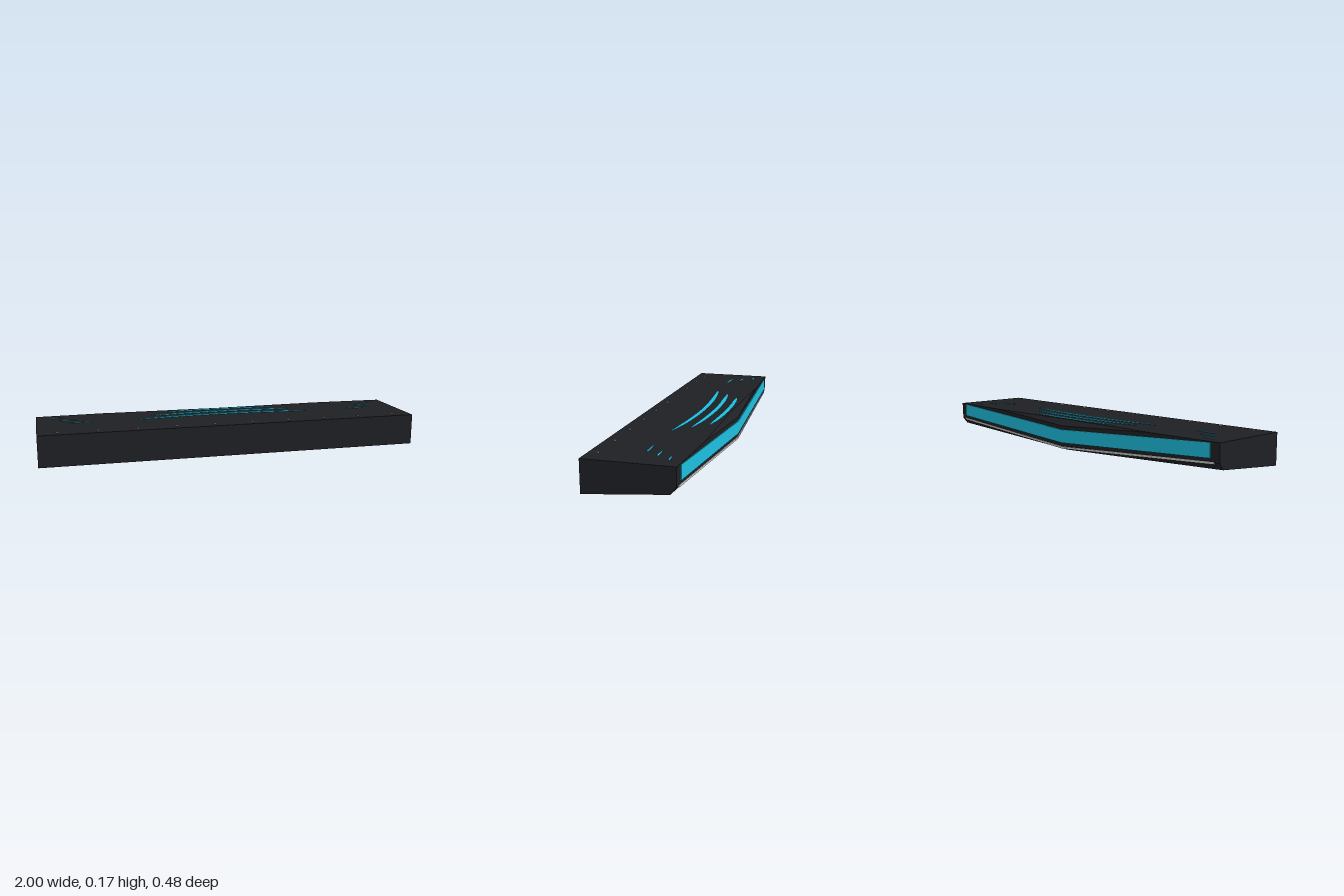
import * as THREE from 'three';

const TOP = 0.162;
const mat = (color) => new THREE.MeshStandardMaterial({ color, flatShading: true, side: THREE.DoubleSide });
const lerp = THREE.MathUtils.lerp;

// Joins equal-length [z, y] sections at the given x stations and closes both ends
function loft(xs, sectionAt) {
  const rings = xs.map((x) => sectionAt(Math.abs(x)).map(([z, y]) => [x, y, z]));
  const n = rings[0].length;
  const out = [];
  for (let i = 0; i < xs.length - 1; i++) {
    for (let j = 0; j < n; j++) {
      const k = (j + 1) % n;
      const [a, b, c, d] = [rings[i][j], rings[i][k], rings[i + 1][k], rings[i + 1][j]];
      out.push(...a, ...d, ...c, ...a, ...c, ...b);
    }
  }
  const first = rings[0], last = rings[rings.length - 1];
  for (let j = 1; j < n - 1; j++) {
    out.push(...first[0], ...first[j], ...first[j + 1]);
    out.push(...last[0], ...last[j + 1], ...last[j]);
  }
  const geo = new THREE.BufferGeometry();
  geo.setAttribute('position', new THREE.Float32BufferAttribute(out, 3));
  geo.computeVertexNormals();
  return geo;
}

// Thin inlay lying on the top face, outlined by [x, z] points
function inlay(points) {
  const shape = new THREE.Shape(points.map(([x, z]) => new THREE.Vector2(x, -z)));
  const geo = new THREE.ExtrudeGeometry(shape, { depth: 0.003, bevelEnabled: false });
  return geo.rotateX(-Math.PI / 2).translate(0, TOP - 0.001, 0);
}

export function createModel() {
  const model = new THREE.Group();
  const dark = mat(0x1f2024), teal = mat(0x1fc0e0), grey = mat(0xcccccc);
  const add = (name, geo, material, parent = model) => {
    const mesh = new THREE.Mesh(geo, material);
    mesh.name = name;
    parent.add(mesh);
    return mesh;
  };

  // Slab with a pointed, drooping rear edge and an undercut chin
  add('body', loft([-1, -0.6, 0, 0.6, 1], (x) => [
    [0.24, 0],
    [0.24, TOP],
    [x > 0.5 ? lerp(-0.21, -0.198, (x - 0.6) / 0.4) : -0.2, TOP],
    [lerp(-0.235, -0.2, x), x > 0.5 ? TOP : 0.13],
    [lerp(-0.234, -0.197, x), lerp(0.022, 0.07, x)],
    [lerp(-0.205, -0.17, x), lerp(0, 0.037, x)],
  ]), dark);

  // Coloured band across the rear face
  add('rearBand', loft([-0.95, 0, 0.95], (x) => {
    const z = lerp(-0.24, -0.203, x), low = lerp(0.04, 0.09, x), high = lerp(0.11, 0.16, x);
    return [[z + 0.015, low], [z + 0.015, high], [z, high], [z, low]];
  }), teal);

  // Slim rail below the band
  add('rearRail', loft([-0.97, 0, 0.97], (x) => {
    const z = lerp(-0.238, -0.199, x), y = lerp(0.014, 0.068, x);
    return [[z + 0.012, y - 0.005], [z + 0.012, y + 0.006], [z, y + 0.006], [z, y - 0.005]];
  }), grey);

  // Three curved tapering stripes in the middle of the top
  const stripes = new THREE.Group();
  stripes.name = 'topStripes';
  model.add(stripes);
  [[-0.189, 0.31], [-0.125, 0.39], [-0.06, 0.47]].forEach(([z, half]) => {
    const back = [], front = [];
    for (let i = -8; i <= 8; i++) {
      const t = i / 8, x = t * half;
      const mid = z + 0.013 + 0.17 * x * x;
      const w = 0.0125 * (1 - 0.75 * t ** 4);
      back.push([x, mid - w]);
      front.unshift([x, mid + w]);
    }
    add('curvedStripe', inlay([...back, ...front]), teal, stripes);
  });

  // Short dashes near both ends of the top
  [[0.86, 0.925, -0.14], [0.79, 0.88, -0.074], [0.715, 0.83, -0.01]].forEach(([x0, x1, z]) => {
    for (const s of [-1, 1]) {
      add('endDash', inlay([[s * x0, z + 0.003], [s * (x0 + 0.03), z - 0.003], [s * x1, z - 0.005],
        [s * (x1 - 0.01), z + 0.005], [s * x0, z + 0.006]]), teal, stripes);
    }
  });

  // Row of screws along the front edge
  for (let i = 0; i < 10; i++) {
    add('screw', new THREE.CylinderGeometry(0.006, 0.006, 0.008, 12), grey)
      .position.set(-0.9 + 0.2 * i, TOP, 0.194);
  }
  return model;
}
